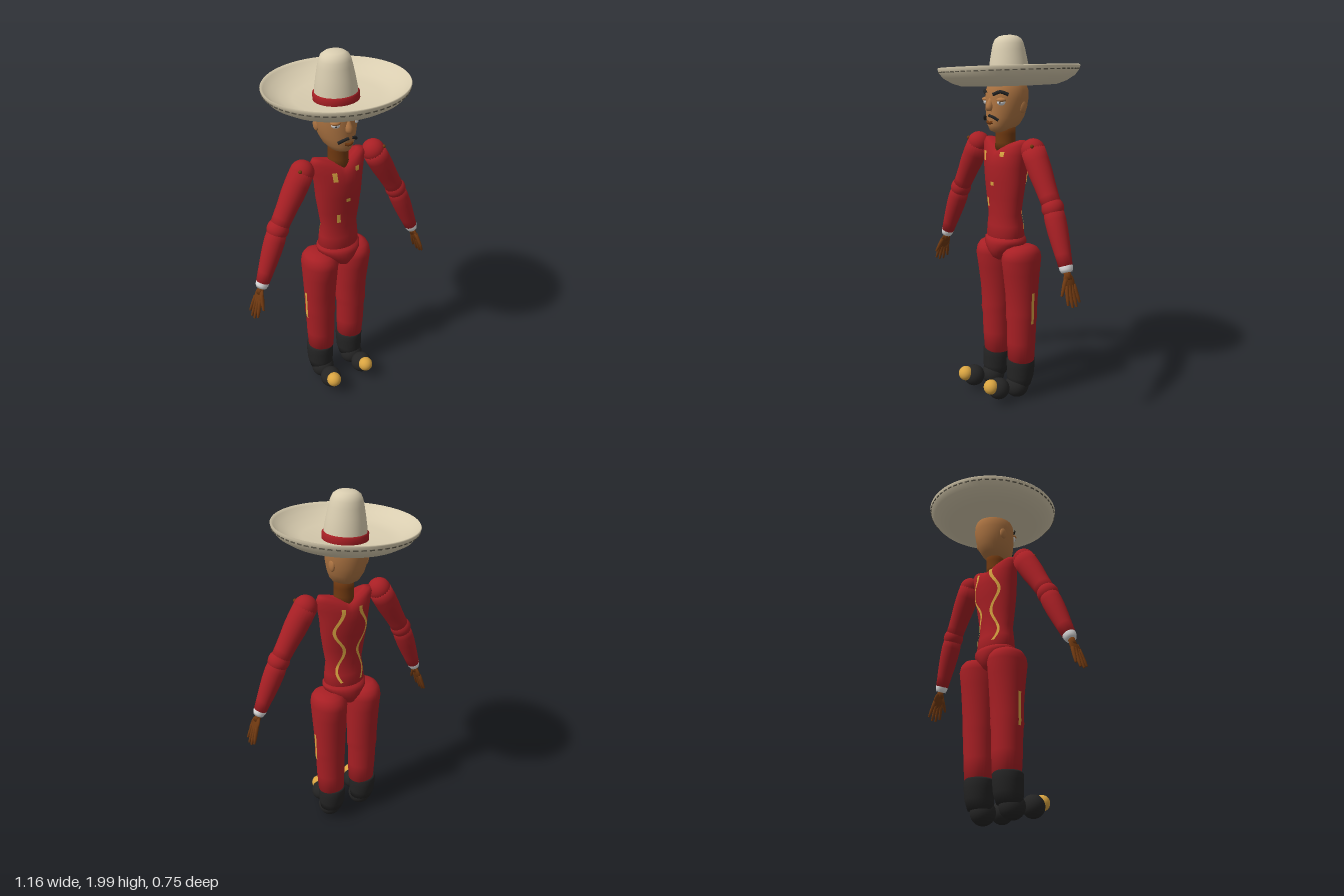
import * as THREE from 'three';

const mat = (name, color, side = THREE.FrontSide) => {
  const m = new THREE.MeshStandardMaterial({ color, side });
  m.name = name;
  return m;
};
const V = (x, y, z) => new THREE.Vector3(x, y, z);

// Point on a stack of ellipses [y, centreX, centreZ, radiusX, radiusZ]
function surfacePoint(rows, angle, y, lift = 0) {
  let i = 0;
  while (i < rows.length - 2 && y > rows[i + 1][0]) i++;
  const t = (y - rows[i][0]) / (rows[i + 1][0] - rows[i][0]);
  const [, cx, cz, rx, rz] = rows[i].map((v, k) => v + (rows[i + 1][k] - v) * t);
  return V(cx + Math.cos(angle) * (rx + lift), y, cz + Math.sin(angle) * (rz + lift));
}

// Closed smooth body through the ellipses
function loft(rows, seg = 32) {
  const pos = [], idx = [];
  rows.forEach(([y, cx, cz, rx, rz]) => {
    for (let j = 0; j < seg; j++) {
      const a = (j / seg) * Math.PI * 2;
      pos.push(cx + Math.cos(a) * rx, y, cz + Math.sin(a) * rz);
    }
  });
  const last = rows.length - 1, n = rows.length * seg;
  [rows[0], rows[last]].forEach(([y, cx, cz]) => pos.push(cx, y, cz));
  for (let j = 0; j < seg; j++) {
    const k = (j + 1) % seg;
    for (let i = 0; i < last; i++) {
      const a = i * seg + j, b = i * seg + k;
      idx.push(a, a + seg, b, b, a + seg, b + seg);
    }
    idx.push(n, j, k, n + 1, last * seg + k, last * seg + j);
  }
  const g = new THREE.BufferGeometry();
  g.setAttribute('position', new THREE.Float32BufferAttribute(pos, 3));
  g.setIndex(idx);
  g.computeVertexNormals();
  return g;
}

// Thin trim lying on a lofted body; angleAt(y) gives its centre line
function ribbon(rows, y0, y1, angleAt, half, steps = 24) {
  const pos = [], idx = [];
  for (let i = 0; i <= steps; i++) {
    const y = y0 + ((y1 - y0) * i) / steps;
    for (const s of [-1, 0, 1]) pos.push(...surfacePoint(rows, angleAt(y) + s * half, y, 0.004).toArray());
    if (i < steps) for (const c of [0, 1]) {
      const a = i * 3 + c;
      idx.push(a, a + 3, a + 1, a + 1, a + 3, a + 4);
    }
  }
  const g = new THREE.BufferGeometry();
  g.setAttribute('position', new THREE.Float32BufferAttribute(pos, 3));
  g.setIndex(idx);
  g.computeVertexNormals();
  return g;
}

export function createModel() {
  const root = new THREE.Group();
  root.name = 'hattedPuppet';
  const red = mat('red cloth', 0xa81f24), cream = mat('cream felt', 0xd9cdb0, THREE.DoubleSide);
  const black = mat('black', 0x242424), gold = mat('gold trim', 0xd9a441, THREE.DoubleSide);
  const skin = mat('light wood skin', 0xad7442), brown = mat('dark wood', 0x6e3810);
  const white = mat('white', 0xdedede), stitch = mat('stitching', 0x5a5548);

  const add = (name, geo, material, parent = root) => {
    const m = new THREE.Mesh(geo, material);
    m.name = name;
    parent.add(m);
    return m;
  };
  const ball = (name, p, r, material, scale = [1, 1, 1]) => {
    const m = add(name, new THREE.SphereGeometry(r, 28, 20), material);
    m.position.copy(p);
    m.scale.set(...scale);
    return m;
  };
  // Turned limb from a to b with radii spaced evenly along it
  const limb = (name, a, b, radii, material, seg = 24) => {
    const len = a.distanceTo(b);
    const pts = radii.map((r, i) => new THREE.Vector2(r, (len * i) / (radii.length - 1)));
    pts.unshift(new THREE.Vector2(0, 0));
    pts.push(new THREE.Vector2(0, len));
    const m = add(name, new THREE.LatheGeometry(pts, seg), material);
    m.position.copy(a);
    m.quaternion.setFromUnitVectors(V(0, 1, 0), b.clone().sub(a).normalize());
    return m;
  };

  // Torso, with the top dipped towards the neck
  const torsoRows = [
    [0.9, 0, 0.02, 0.09, 0.07], [0.94, 0, 0.02, 0.118, 0.092], [1.0, 0, 0.022, 0.114, 0.084],
    [1.06, 0, 0.025, 0.106, 0.075], [1.15, 0, 0.025, 0.122, 0.08], [1.24, 0, 0.022, 0.135, 0.09],
    [1.32, 0, 0.02, 0.141, 0.096], [1.39, 0, 0.018, 0.155, 0.088], [1.44, 0, 0.015, 0.165, 0.074],
    [1.465, 0, 0.015, 0.155, 0.058], [1.475, 0, 0.015, 0.12, 0.035]];
  const torso = loft(torsoRows, 40), tp = torso.attributes.position;
  for (let i = 0; i < tp.count; i++) {
    const y = tp.getY(i), t = THREE.MathUtils.clamp((y - 1.36) / 0.1, 0, 1);
    tp.setY(i, y - 0.055 * t * Math.max(0, 1 - Math.abs(tp.getX(i)) / 0.14));
  }
  torso.computeVertexNormals();
  add('torso', torso, red);
  add('pelvis', loft([[0.8, 0, 0.02, 0.02, 0.05], [0.82, 0, 0.02, 0.045, 0.085], [0.86, 0, 0.02, 0.09, 0.105],
    [0.9, 0, 0.02, 0.122, 0.11], [0.925, 0, 0.02, 0.127, 0.1], [0.945, 0, 0.02, 0.1, 0.07]]), red);

  // Wavy back braid and small front trims
  for (const s of [-1, 1])
    add('backBraid', ribbon(torsoRows, 0.96, 1.4,
      y => -Math.PI / 2 + s * (0.55 + 0.22 * Math.sin(y * 26)), 0.075, 48), gold);
  for (const [y0, y1, a] of [[1.35, 1.4, 2.06], [1.1, 1.15, 2.0], [1.38, 1.405, 1.15], [1.22, 1.24, 1.57]])
    add('frontTrim', ribbon(torsoRows, y0, y1, () => a, 0.09, 4), gold);

  // Neck and head
  limb('neck', V(0, 1.4, 0.02), V(0, 1.54, 0.02), [0.06, 0.054, 0.054, 0.054], brown);
  const hx = -0.007;
  const headRows = [[1.5, hx, 0.055, 0.025, 0.03], [1.512, hx, 0.045, 0.05, 0.065], [1.54, hx, 0.027, 0.075, 0.092],
    [1.58, hx, 0.015, 0.093, 0.106], [1.63, hx, 0.008, 0.106, 0.114], [1.68, hx, 0.004, 0.112, 0.117],
    [1.72, hx, 0.002, 0.109, 0.114], [1.76, hx, 0.002, 0.095, 0.1], [1.79, hx, 0.002, 0.06, 0.065]];
  add('head', loft(headRows, 40), skin);
  const face = (x, y, lift) => surfacePoint(headRows, Math.PI / 2 - x / 0.11, y, lift);
  const stroke = (name, pts, r, material) =>
    add(name, new THREE.TubeGeometry(new THREE.CatmullRomCurve3(pts), 12, r, 8), material);
  limb('nose', V(hx, 1.68, 0.112), V(hx, 1.615, 0.128), [0.008, 0.014, 0.019, 0.02, 0.014], skin);
  for (const s of [-1, 1]) {
    ball('eye', face(s * 0.068, 1.662, -0.012), 0.026, white, [1, 0.75, 0.9]);
    ball('eyelid', face(s * 0.068, 1.672, -0.01), 0.027, skin, [1.05, 0.5, 0.95]);
    ball('pupil', face(s * 0.066, 1.659, 0.009), 0.006, black, [1, 0.8, 0.6]);
    stroke('eyebrow', [face(s * 0.025, 1.7, 0.004), face(s * 0.065, 1.714, 0.006), face(s * 0.105, 1.7, 0.002)], 0.009, black);
    stroke('moustache', [face(s * 0.008, 1.592, 0.012), face(s * 0.035, 1.585, 0.012), face(s * 0.068, 1.568, 0.008)], 0.008, black);
    ball('ear', V(hx + s * 0.1, 1.635, -0.02), 0.03, skin, [0.4, 1.1, 0.8]);
  }
  stroke('mouth', [face(-0.03, 1.557, 0.002), face(0, 1.553, 0.006), face(0.03, 1.557, 0.002)], 0.008, brown);

  // Wide hat, slightly tilted
  const hat = new THREE.Group();
  hat.name = 'hat';
  hat.position.set(0.005, 1.745, -0.003);
  hat.rotation.z = 0.045;
  root.add(hat);
  const lathe = pts => new THREE.LatheGeometry(pts.map(p => new THREE.Vector2(...p)), 72);
  add('brim', lathe([[0, -0.005], [0.15, -0.005], [0.25, -0.002], [0.3, 0.015], [0.345, 0.042], [0.366, 0.068],
    [0.374, 0.09], [0.37, 0.096], [0.358, 0.084], [0.33, 0.062], [0.28, 0.036], [0.22, 0.022], [0.1, 0.012]]), cream, hat);
  add('crown', lathe([[0.113, 0.01], [0.108, 0.07], [0.098, 0.13], [0.088, 0.18], [0.081, 0.21], [0.07, 0.234],
    [0.05, 0.248], [0.025, 0.254], [0, 0.255]]), cream, hat);
  add('hatBand', lathe([[0.112, 0.008], [0.119, 0.012], [0.118, 0.045], [0.108, 0.052]]), red, hat);
  for (let i = 0; i < 60; i++) {
    const a = (i / 60) * Math.PI * 2;
    const dash = add('brimStitch', new THREE.BoxGeometry(0.024, 0.006, 0.005), stitch, hat);
    dash.position.set(Math.sin(a) * 0.3685, 0.073, Math.cos(a) * 0.3685);
    dash.rotation.y = a;
  }

  for (const s of [-1, 1]) {
    // Arm with ball joints
    const shoulder = V(s * 0.225, 1.422, 0.025), elbow = V(s * 0.385, 1.148, 0.035), wrist = V(s * 0.5, 0.875, 0.052);
    ball('shoulder', shoulder, 0.063, red);
    limb('upperArm', shoulder, elbow, [0.063, 0.064, 0.062, 0.056, 0.052, 0.05], red);
    ball('elbow', elbow, 0.058, red);
    limb('forearm', elbow, wrist, [0.05, 0.055, 0.053, 0.048, 0.042, 0.036], red);
    ball('shoulderPin', V(s * 0.262, 1.45, 0.068), 0.01, brown);
    const cuffEnd = V(s * 0.513, 0.845, 0.054);
    limb('cuff', V(s * 0.495, 0.888, 0.051), cuffEnd, [0.034, 0.036, 0.034, 0.028], white);
    // Flat hand with spread fingers
    const palm = ball('palm', V(s * 0.53, 0.798, 0.055), 0.042, brown, [0.28, 1.15, 0.85]);
    palm.rotation.z = s * 0.36;
    limb('wrist', cuffEnd, V(s * 0.525, 0.81, 0.055), [0.018, 0.017, 0.018], brown, 12);
    for (let f = 0; f < 4; f++) {
      const w = f - 1.5, drop = f === 0 || f === 3 ? 0.016 : 0;
      limb('finger', V(s * 0.537, 0.785, 0.055 + w * 0.017),
        V(s * (0.572 - drop * 0.35), 0.678 + drop, 0.055 + w * 0.027), [0.01, 0.01, 0.009, 0.006], brown, 10);
    }
    limb('thumb', V(s * 0.525, 0.815, 0.075), V(s * 0.54, 0.74, 0.115), [0.011, 0.011, 0.009, 0.006], brown, 10);

    // Trouser leg with gold side stripe
    const c = s * 0.108;
    const legRows = [[0.225, s * 0.104, -0.005, 0.075, 0.074], [0.34, s * 0.106, -0.004, 0.081, 0.08],
      [0.45, c, -0.004, 0.083, 0.081], [0.485, c, -0.003, 0.089, 0.086], [0.52, c, -0.004, 0.088, 0.084],
      [0.62, c, -0.004, 0.091, 0.09], [0.74, s * 0.109, -0.001, 0.096, 0.104], [0.82, s * 0.11, 0, 0.098, 0.117],
      [0.855, s * 0.112, 0, 0.092, 0.108], [0.88, s * 0.116, 0, 0.075, 0.088], [0.895, s * 0.12, 0, 0.045, 0.055]];
    add('leg', loft(legRows), red);
    add('legStripe', ribbon(legRows, 0.46, 0.64, () => (s > 0 ? 0 : Math.PI), 0.1), gold);

    // Boot: shaft, heel ball, toe ball and gold tip
    const bx = s > 0 ? 0.1 : -0.112, turn = s > 0 ? 0.1 : 0.2;
    add('bootShaft', loft([[0.08, bx, 0.005, 0.066, 0.066], [0.13, bx, -0.003, 0.075, 0.077],
      [0.19, bx, -0.006, 0.078, 0.08], [0.225, bx, -0.006, 0.079, 0.08], [0.235, bx, -0.006, 0.072, 0.073]]), black);
    ball('heel', V(bx, 0.072, 0.022), 0.067, black);
    ball('toe', V(bx - 0.125 * turn, 0.085, 0.145), 0.06, black);
    ball('toeTip', V(bx - 0.185 * turn, 0.107, 0.196), 0.041, gold);
  }
  return root;
}
